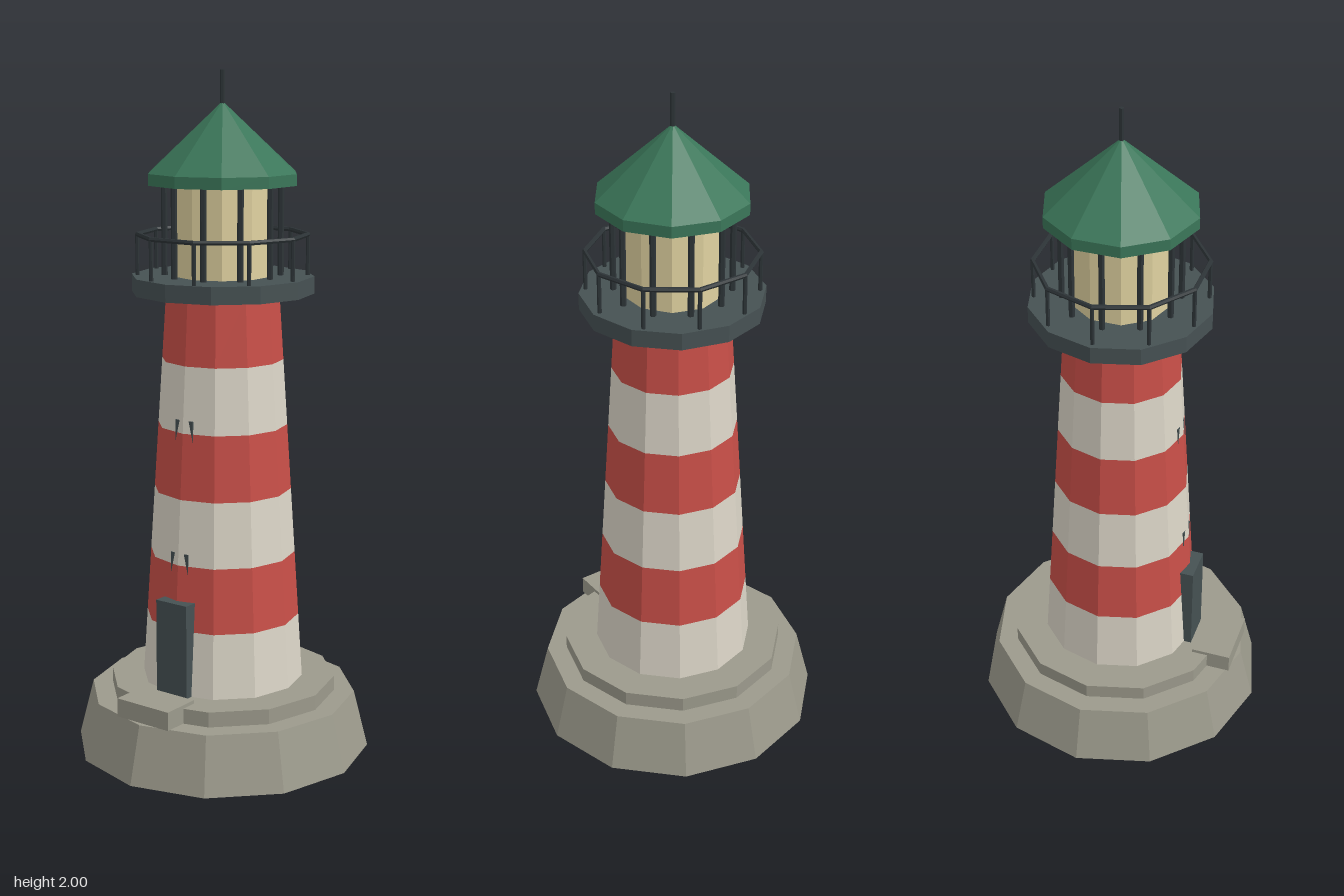
import * as THREE from 'three';

const paint = (name, color) => {
  const m = new THREE.MeshStandardMaterial({ color });
  m.name = name;
  return m;
};

export function createModel() {
  const stone = paint('stone', 0x9c9a8c);
  const white = paint('white', 0xdcd6c8);
  const red = paint('red', 0xc94f48);
  const slate = paint('slate', 0x465153);
  const iron = paint('iron', 0x2d3437);
  const glass = paint('lamp glass', 0xe0d2a0);
  const green = paint('green', 0x3a7659);

  const model = new THREE.Group();
  model.name = 'lighthouse';

  // Faceted mesh helper
  const add = (name, geometry, material, x = 0, y = 0, z = 0, parent = model) => {
    const flat = geometry.toNonIndexed();
    flat.computeVertexNormals();
    const mesh = new THREE.Mesh(flat, material);
    mesh.name = name;
    mesh.position.set(x, y, z);
    parent.add(mesh);
    return mesh;
  };
  // Upright prism between two heights
  const drum = (name, material, rBottom, rTop, y0, y1, sides, x = 0, z = 0, parent = model) =>
    add(name, new THREE.CylinderGeometry(rTop, rBottom, y1 - y0, sides), material, x, (y0 + y1) / 2, z, parent);
  const box = (name, material, w, h, d, x, y, z) =>
    add(name, new THREE.BoxGeometry(w, h, d), material, x, y, z);

  // Foundation
  drum('base', stone, 0.44, 0.397, 0, 0.17, 12);
  drum('plinth', stone, 0.337, 0.337, 0.17, 0.215, 12);
  box('doorStep', stone, 0.186, 0.055, 0.12, 0, 0.198, 0.323);

  // Striped tapering tower
  const y0 = 0.215, y1 = 1.37, bands = 6;
  const radiusAt = (y) => THREE.MathUtils.mapLinear(y, y0, y1, 0.24, 0.165);
  for (let i = 0; i < bands; i++) {
    const a = y0 + ((y1 - y0) * i) / bands;
    const b = y0 + ((y1 - y0) * (i + 1)) / bands;
    drum('towerBand', i % 2 ? red : white, radiusAt(a), radiusAt(b), a, b, 12);
  }

  // Door and the windows sunk into the tower's front ridge
  box('door', slate, 0.11, 0.28, 0.05, 0, 0.355, 0.223);
  for (const top of [0.635, 1.022]) {
    box('window', slate, 0.062, 0.1, 0.04, 0, top - 0.05, radiusAt(top) - 0.0243);
  }

  // Gallery with railing
  drum('gallery', slate, 0.265, 0.265, 1.37, 1.42, 12);
  const railing = new THREE.Group();
  railing.name = 'railing';
  model.add(railing);
  const rail = new THREE.TorusGeometry(0.245, 0.007, 6, 10).rotateX(Math.PI / 2);
  add('handrail', rail, iron, 0, 1.537, 0, railing);

  // Lantern room: lamp glass, mullions and railing posts share ten directions
  drum('lampGlass', glass, 0.143, 0.143, 1.42, 1.68, 10);
  for (let i = 0; i < 10; i++) {
    const a = (i * Math.PI) / 5, c = Math.cos(a), s = Math.sin(a);
    drum('railPost', iron, 0.006, 0.006, 1.42, 1.537, 6, 0.245 * c, 0.245 * s, railing);
    drum('lanternPost', iron, 0.009, 0.009, 1.42, 1.68, 6, 0.167 * c, 0.167 * s);
  }

  // Roof and finial
  drum('eave', green, 0.22, 0.22, 1.68, 1.713, 10);
  add('roof', new THREE.ConeGeometry(0.22, 0.2, 10), green, 0, 1.813, 0);
  drum('finial', iron, 0.007, 0.007, 1.89, 2, 6);

  return model;
}
